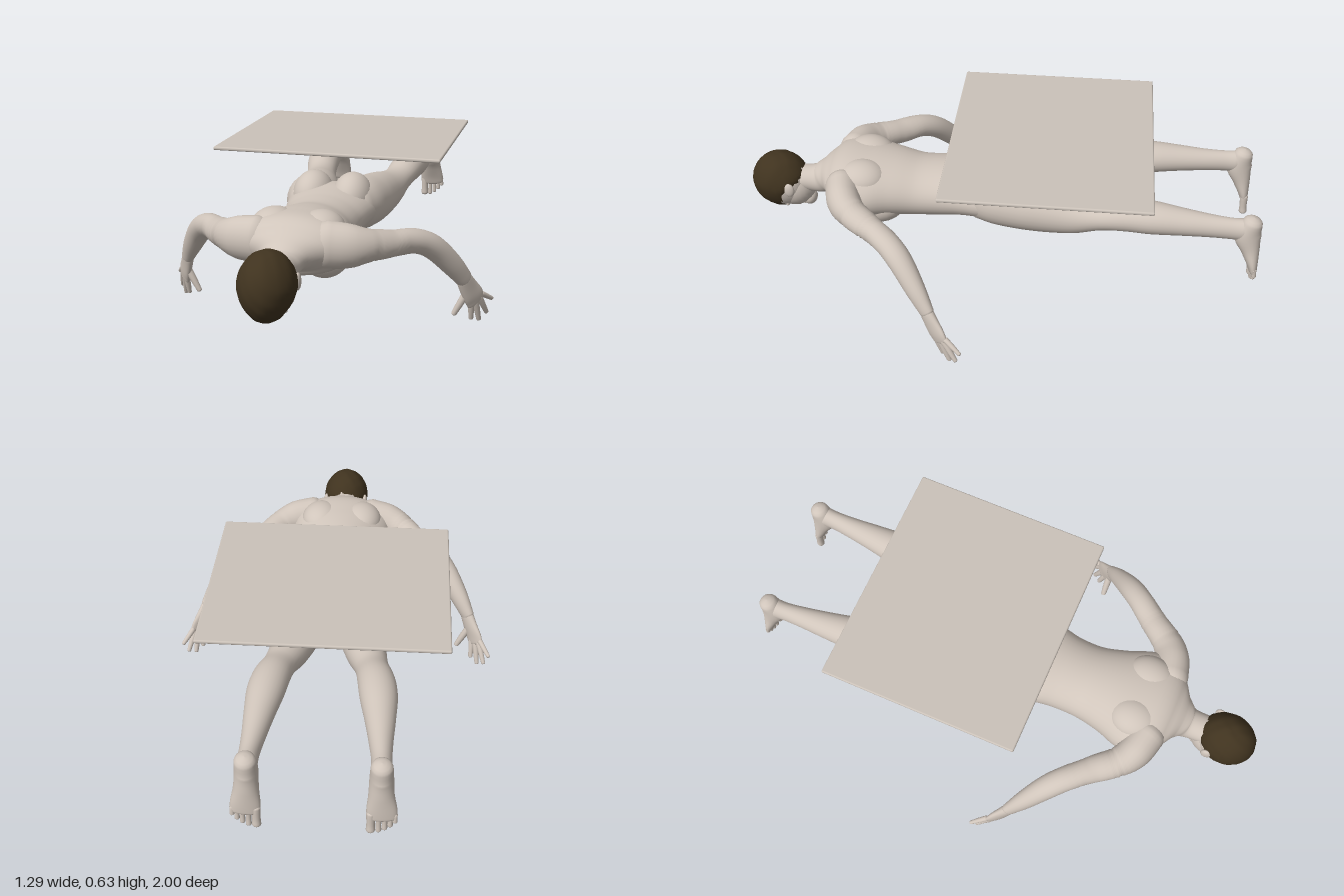
import * as THREE from 'three';
import { RoundedBoxGeometry } from 'three/addons/geometries/RoundedBoxGeometry.js';

const mat = (name, color) => {
  const m = new THREE.MeshStandardMaterial({ color });
  m.name = name;
  return m;
};

// Smooth tube through sections [x, y, z, halfWidth, halfDepth]; width lies along ref. Ends are domed.
function loft(sections, ref, side = 1, steps = 4, sides = 24) {
  const curve = (pts) => new THREE.CatmullRomCurve3(pts, false, 'catmullrom', 0.5);
  const path = curve(sections.map((s) => new THREE.Vector3(s[0] * side, s[1], s[2])));
  const size = curve(sections.map((s) => new THREE.Vector3(s[3], s[4], 0)));
  const across = new THREE.Vector3(ref[0] * side, ref[1], ref[2]);
  const n = (sections.length - 1) * steps;
  const rings = [];
  const ring = (u, offset, scale) => {
    const t = path.getTangent(u);
    const r = size.getPoint(u);
    const c = path.getPoint(u).addScaledVector(t, offset * Math.min(r.x, r.y));
    const s = across.clone().addScaledVector(t, -across.dot(t)).normalize();
    const w = new THREE.Vector3().crossVectors(t, s);
    rings.push({ c, s, w, a: r.x * scale, b: r.y * scale });
  };
  for (const k of [1, 0.75, 0.5, 0.25]) ring(0, -0.7 * Math.sin(k * Math.PI / 2), Math.cos(k * Math.PI / 2) + 1e-4);
  for (let i = 0; i <= n; i++) ring(i / n, 0, 1);
  for (const k of [0.25, 0.5, 0.75, 1]) ring(1, 0.7 * Math.sin(k * Math.PI / 2), Math.cos(k * Math.PI / 2) + 1e-4);

  const pos = [];
  const idx = [];
  rings.forEach(({ c, s, w, a, b }, i) => {
    for (let j = 0; j < sides; j++) {
      const q = (j / sides) * Math.PI * 2;
      const p = c.clone().addScaledVector(s, a * Math.cos(q)).addScaledVector(w, b * Math.sin(q));
      pos.push(p.x, p.y, p.z);
      if (i === rings.length - 1) continue;
      const k = (j + 1) % sides;
      const A = i * sides + j, B = i * sides + k, C = A + sides, D = B + sides;
      idx.push(A, B, C, B, D, C);
    }
  });
  const g = new THREE.BufferGeometry();
  g.setAttribute('position', new THREE.Float32BufferAttribute(pos, 3));
  g.setIndex(idx);
  g.computeVertexNormals();
  return g;
}

function ellipsoid(x, y, z, rx, ry, rz) {
  return new THREE.SphereGeometry(1, 28, 20).scale(rx, ry, rz).translate(x, y, z);
}

export function createModel() {
  const root = new THREE.Group();
  const skin = mat('skin', 0xd0c5bb);
  const hairColor = mat('hair', 0x40331f);
  const boardColor = mat('board', 0xcbc2b9);
  const add = (name, geometry, material = skin) => {
    const m = new THREE.Mesh(geometry, material);
    m.name = name;
    root.add(m);
  };

  // Floating board
  const board = new RoundedBoxGeometry(0.88, 0.014, 0.765, 3, 0.006);
  add('board', board.translate(0, 0.632, -0.198), boardColor);

  // Neck and torso, from the head towards the hips
  add('torso', loft([
    [0, 0.375, 0.80, 0.055, 0.048],
    [0, 0.375, 0.73, 0.06, 0.057],
    [0, 0.392, 0.69, 0.09, 0.062],
    [0, 0.405, 0.65, 0.155, 0.08],
    [0, 0.41, 0.60, 0.205, 0.106],
    [0, 0.396, 0.51, 0.205, 0.118],
    [0, 0.388, 0.42, 0.173, 0.116],
    [0, 0.378, 0.32, 0.15, 0.108],
    [0, 0.382, 0.22, 0.15, 0.104],
    [0, 0.392, 0.14, 0.165, 0.098],
    [0, 0.395, 0.05, 0.18, 0.097],
    [0, 0.388, -0.03, 0.18, 0.085],
    [0, 0.38, -0.09, 0.14, 0.06],
  ], [1, 0, 0], 1, 5, 40));

  // Head and face, looking down
  add('head', ellipsoid(0, 0.36, 0.875, 0.092, 0.112, 0.105));
  add('face', ellipsoid(0, 0.335, 0.835, 0.076, 0.088, 0.088));
  add('chin', ellipsoid(0, 0.28, 0.777, 0.036, 0.034, 0.03));
  add('nose', loft([
    [0, 0.262, 0.86, 0.008, 0.009],
    [0, 0.251, 0.84, 0.009, 0.012],
    [0, 0.247, 0.822, 0.014, 0.013],
  ], [1, 0, 0]));
  add('lips', ellipsoid(0, 0.257, 0.797, 0.022, 0.011, 0.009));

  // Hair cap, cut off along the nape, ears and forehead
  const hair = new THREE.SphereGeometry(1, 36, 28);
  const p = hair.attributes.position;
  for (let i = 0; i < p.count; i++) {
    const px = p.getX(i), py = p.getY(i), pz = p.getZ(i);
    const wave = 1 + 0.012 * Math.sin(px * 11 + py * 5) * Math.sin(pz * 10 + py * 7);
    const y = 0.36 + 0.121 * py * wave;
    const taper = py < 0 ? 1 + 0.17 * py : 1;
    const edge = 0.868 - 0.088 * THREE.MathUtils.smoothstep(y, 0.33, 0.41);
    p.setXYZ(i, px * 0.098 * taper * wave, y, Math.max(0.885 + 0.114 * pz * wave, edge));
  }
  hair.computeVertexNormals();
  add('hair', hair, hairColor);

  for (const side of [1, -1]) {
    const label = side > 0 ? 'left' : 'right';
    const limb = (name, sections, ref, steps, sides) =>
      add(label + name, loft(sections, ref, side, steps, sides));
    const mound = (name, x, ...rest) => add(label + name, ellipsoid(x * side, ...rest));

    mound('Ear', 0.087, 0.365, 0.832, 0.011, 0.03, 0.021);
    mound('Brow', 0.033, 0.27, 0.857, 0.026, 0.012, 0.01);
    mound('Chest', 0.085, 0.335, 0.475, 0.085, 0.074, 0.105);
    mound('ShoulderBlade', 0.085, 0.45, 0.53, 0.085, 0.07, 0.1);
    mound('Buttock', 0.078, 0.435, 0.045, 0.08, 0.1, 0.11);

    // Arm, shoulder to wrist
    limb('Arm', [
      [0.12, 0.42, 0.60, 0.07, 0.085],
      [0.20, 0.415, 0.58, 0.066, 0.078],
      [0.26, 0.41, 0.54, 0.057, 0.059],
      [0.325, 0.398, 0.46, 0.048, 0.052],
      [0.39, 0.388, 0.385, 0.045, 0.048],
      [0.445, 0.35, 0.325, 0.045, 0.046],
      [0.505, 0.27, 0.262, 0.042, 0.036],
      [0.548, 0.20, 0.215, 0.034, 0.023],
    ], [-0.6, 0, 0.75], 5);

    // Hand with spread fingers
    const spread = [-0.6, 0, 0.75];
    limb('Palm', [
      [0.546, 0.20, 0.217, 0.033, 0.022],
      [0.562, 0.16, 0.196, 0.04, 0.019],
      [0.578, 0.125, 0.176, 0.045, 0.016],
      [0.587, 0.098, 0.162, 0.043, 0.013],
    ], spread);
    const fingers = [
      ['Pinky', [0.604, 0.12, 0.14], [0.638, 0.085, 0.086], 0.01],
      ['RingFinger', [0.598, 0.11, 0.15], [0.622, 0.035, 0.104], 0.011],
      ['MiddleFinger', [0.586, 0.10, 0.164], [0.597, 0.013, 0.13], 0.0115],
      ['IndexFinger', [0.572, 0.10, 0.18], [0.571, 0.025, 0.158], 0.0115],
      ['Thumb', [0.558, 0.145, 0.202], [0.511, 0.053, 0.2], 0.0135],
    ];
    for (const [name, a, b, r] of fingers) {
      const mid = a.map((v, i) => (v + b[i]) / 2);
      limb(name, [[...a, r * 1.1, r * 1.1], [...mid, r, r], [...b, r * 0.8, r * 0.75]], spread, 3, 12);
    }

    // Leg, hip to ankle
    limb('Leg', [
      [0.088, 0.405, 0.07, 0.085, 0.095],
      [0.10, 0.402, 0, 0.098, 0.102],
      [0.11, 0.392, -0.1, 0.1, 0.1],
      [0.125, 0.386, -0.2, 0.089, 0.093],
      [0.145, 0.386, -0.3, 0.075, 0.077],
      [0.167, 0.404, -0.4, 0.062, 0.056],
      [0.186, 0.428, -0.5, 0.067, 0.061],
      [0.198, 0.432, -0.59, 0.067, 0.061],
      [0.207, 0.428, -0.7, 0.054, 0.052],
      [0.213, 0.423, -0.8, 0.042, 0.045],
      [0.218, 0.42, -0.88, 0.035, 0.043],
      [0.22, 0.42, -0.93, 0.036, 0.045],
    ], [1, 0, 0], 5, 28);

    // Foot pointing down, sole to the back
    limb('Foot', [
      [0.221, 0.453, -0.955, 0.037, 0.038],
      [0.221, 0.40, -0.944, 0.04, 0.051],
      [0.222, 0.34, -0.96, 0.043, 0.037],
      [0.225, 0.285, -0.974, 0.051, 0.024],
      [0.227, 0.25, -0.981, 0.051, 0.017],
    ], [1, 0, 0]);
    [0.19, 0.216, 0.236, 0.254, 0.27].forEach((x, i) => {
      const r = i ? 0.0105 - i * 0.0004 : 0.016;
      const tip = [0.194, 0.193, 0.204, 0.219, 0.238][i];
      limb('Toe' + (i + 1), [
        [x, 0.265, -0.98, r, r],
        [x, tip + 0.025, -0.982, r * 0.9, r * 0.9],
        [x, tip, -0.984, r, r],
      ], [1, 0, 0], 3, 12);
    });
  }
  return root;
}
